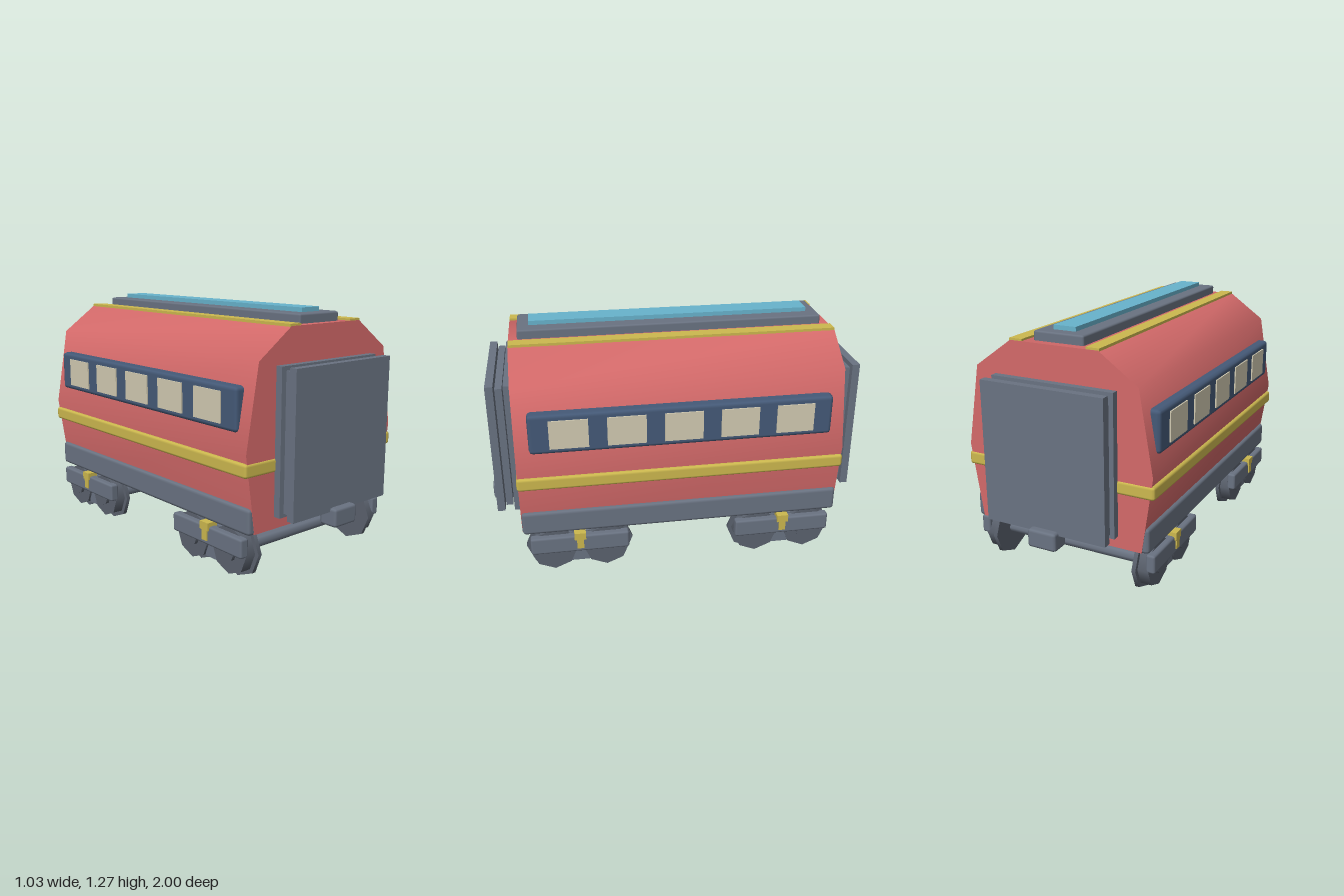
import * as THREE from 'three';
import { toCreasedNormals } from 'three/addons/utils/BufferGeometryUtils.js';
import { RoundedBoxGeometry } from 'three/addons/geometries/RoundedBoxGeometry.js';

const paint = (name, color) => {
  const m = new THREE.MeshStandardMaterial({ color });
  m.name = name;
  return m;
};

export function createModel() {
  const red = paint('red', 0xd46a6a);
  const grey = paint('grey', 0x6a7382);
  const darkGrey = paint('dark grey', 0x5b626e);
  const yellow = paint('yellow', 0xcdb94f);
  const navy = paint('navy', 0x455a78);
  const cream = paint('cream', 0xd2cbb2);
  const cyan = paint('cyan', 0x68b4cd);

  const model = new THREE.Group();
  model.name = 'railwayCarriage';

  const add = (parent, name, geometry, material, x = 0, y = 0, z = 0) => {
    const mesh = new THREE.Mesh(geometry, material);
    mesh.name = name;
    mesh.position.set(x, y, z);
    parent.add(mesh);
    return mesh;
  };
  // Box given by its limits on each axis; a bevel above zero chamfers it
  const box = (parent, name, material, [x0, x1], [y0, y1], [z0, z1], bevel = 0) => {
    const size = [x1 - x0, y1 - y0, z1 - z0];
    const g = bevel ? new RoundedBoxGeometry(...size, 1, bevel) : new THREE.BoxGeometry(...size);
    return add(parent, name, g, material, (x0 + x1) / 2, (y0 + y1) / 2, (z0 + z1) / 2);
  };
  // Cylinder lying along x
  const drum = (parent, name, material, radius, x0, x1, y, z, sides = 8) => {
    const g = new THREE.CylinderGeometry(radius, radius, x1 - x0, sides).rotateZ(Math.PI / 2);
    return add(parent, name, g, material, (x0 + x1) / 2, y, z);
  };

  // Body shell: one cross-section drawn along z
  const half = [[0.45, 0.26], [0.507, 0.645], [0.435, 1.06], [0.235, 1.203]];
  const outline = [...half, ...half.map(([x, y]) => [-x, y]).reverse()];
  const shape = new THREE.Shape(outline.map(([x, y]) => new THREE.Vector2(x, y)));
  const shell = new THREE.ExtrudeGeometry(shape, { depth: 1.68, bevelEnabled: false });
  shell.translate(0, 0, -0.84);
  add(model, 'body', toCreasedNormals(shell, 1.0), red);

  // Underframe and waist band
  box(model, 'underframe', grey, [-0.485, 0.485], [0.255, 0.385], [-0.838, 0.838], 0.018);
  box(model, 'waistBand', yellow, [-0.516, 0.516], [0.535, 0.605], [-0.846, 0.846], 0.015);

  // Roof
  box(model, 'roofDeck', grey, [-0.135, 0.135], [1.18, 1.25], [-0.795, 0.795], 0.01);
  box(model, 'roofPanel', cyan, [-0.06, 0.06], [1.24, 1.272], [-0.735, 0.735]);

  for (const side of [-1, 1]) {
    const span = (a, b) => (side > 0 ? [a, b] : [-b, -a]);
    box(model, 'roofStripe', yellow, span(0.17, 0.24), [1.19, 1.213], [-0.838, 0.838]);

    // Window strip with five panes
    box(model, 'windowStrip', navy, span(0.40, 0.507), [0.732, 0.945], [-0.77, 0.77], 0.02);
    for (let i = -2; i <= 2; i++) {
      const z = i * 0.286;
      box(model, 'windowPane', cream, span(0.505, 0.514), [0.763, 0.914], [z - 0.097, z + 0.097]);
    }
  }

  for (const end of [-1, 1]) {
    const span = (a, b) => (end > 0 ? [a, b] : [-b, -a]);

    // Gangway: three stacked plates, the middle one smaller
    box(model, 'gangwayPlate', grey, [-0.327, 0.327], [0.32, 1.032], span(0.835, 0.876));
    box(model, 'gangwayPlate', grey, [-0.307, 0.307], [0.342, 1.012], span(0.883, 0.919));
    box(model, 'gangwayPlate', grey, [-0.327, 0.327], [0.32, 1.032], span(0.925, 0.965));
    box(model, 'coupler', grey, [-0.078, 0.078], [0.245, 0.34], span(0.9, 1.0), 0.015);

    // Bogie
    const bogie = new THREE.Group();
    bogie.name = 'bogie';
    bogie.position.z = end * 0.545;
    model.add(bogie);
    box(bogie, 'bolster', grey, [-0.45, 0.45], [0.193, 0.235], [-0.06, 0.06]);
    for (const z of [-0.138, 0.138]) {
      drum(bogie, 'axle', grey, 0.033, -0.4, 0.4, 0.145, z);
      for (const side of [-1, 1]) {
        const wheel = new THREE.Group();
        wheel.name = 'wheel';
        wheel.rotation.y = side > 0 ? 0 : Math.PI;
        wheel.position.set(0, 0.145, z);
        bogie.add(wheel);
        drum(wheel, 'flange', darkGrey, 0.145, 0.39, 0.411, 0, 0);
        drum(wheel, 'tread', darkGrey, 0.122, 0.41, 0.468, 0, 0);
        drum(wheel, 'hub', darkGrey, 0.055, 0.46, 0.487, 0, 0);
      }
    }
    for (const side of [-1, 1]) {
      const across = (a, b) => (side > 0 ? [a, b] : [-b, -a]);
      box(bogie, 'sideFrame', grey, across(0.45, 0.5), [0.138, 0.235], [-0.258, 0.258], 0.012);
      box(bogie, 'frameFoot', grey, across(0.42, 0.455), [0.055, 0.2], [-0.05, 0.05]);
      box(bogie, 'springCap', yellow, across(0.45, 0.509), [0.215, 0.255], [-0.03, 0.03]);
      box(bogie, 'spring', yellow, across(0.45, 0.507), [0.162, 0.22], [-0.018, 0.018]);
    }
  }
  return model;
}
